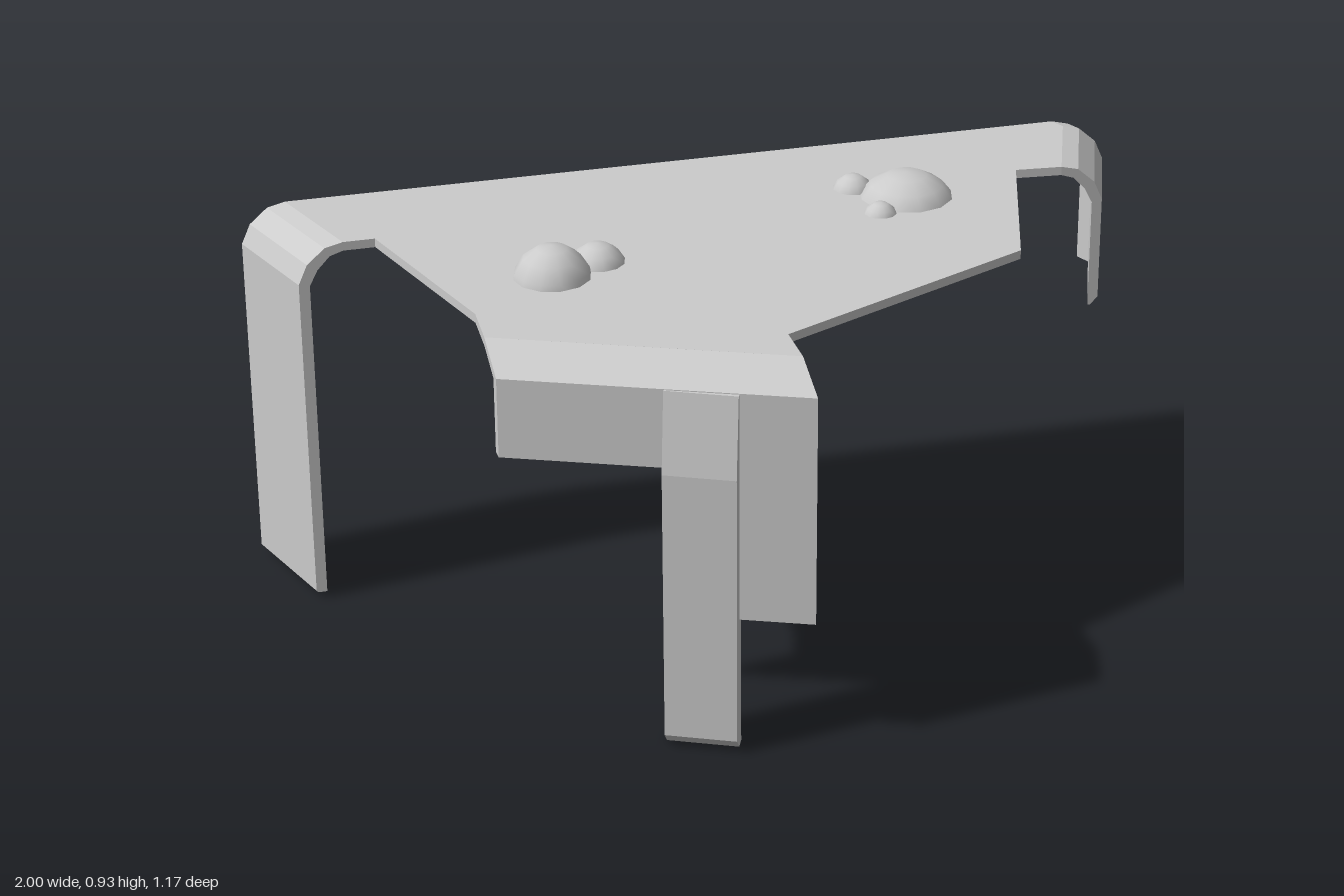
import * as THREE from 'three';

const material = new THREE.MeshStandardMaterial({ color: 0xcccccc });
const domeMaterial = new THREE.MeshStandardMaterial({ color: 0xcccccc, side: THREE.DoubleSide });
const points = (list) => list.map(([x, y]) => new THREE.Vector2(x, y));

// Sweep a profile of [outward offset, height] from ground point a to b.
function bentSheet(name, profile, a, b, [ux, uz]) {
  const geometry = new THREE.ExtrudeGeometry(new THREE.Shape(points(profile)), { depth: 1, bevelEnabled: false });
  const pos = geometry.attributes.position;
  for (let i = 0; i < pos.count; i++) {
    const d = pos.getX(i), t = pos.getZ(i);
    pos.setX(i, a[0] + (b[0] - a[0]) * t + ux * d);
    pos.setZ(i, a[1] + (b[1] - a[1]) * t + uz * d);
  }
  geometry.computeVertexNormals();
  const mesh = new THREE.Mesh(geometry, material);
  mesh.name = name;
  return mesh;
}

// Side flange: rounded shoulder, then straight down to the given height
const sideProfile = (bottom, chamfer) => [
  [-0.1, 0.86], [-0.06, 0.85], [-0.02, 0.815], [0, 0.77], [0, bottom + chamfer], [-chamfer, bottom],
  [-0.024, bottom], [-0.024, 0.765], [-0.042, 0.8], [-0.07, 0.83], [-0.1, 0.84],
];

// Front flange: shallow slope, then straight down
const frontProfile = (bottom) => [
  [-0.11, 0.86], [0, 0.817], [0, bottom], [-0.027, bottom], [-0.027, 0.806], [-0.11, 0.84],
];

export function createModel() {
  const group = new THREE.Group();

  // Flat top plate
  const outline = [
    [-0.9, -0.59], [-0.815, -0.337], [-0.745, -0.337], [-0.615, 0.1], [-0.62, 0.215], [-0.02, 0.473],
    [-0.02, 0.365], [0.575, 0.09], [0.71, -0.335], [0.815, -0.325], [0.9, -0.555], [0.885, -0.59],
  ].map(([x, z]) => [x, -z]);
  const plateGeometry = new THREE.ExtrudeGeometry(new THREE.Shape(points(outline)), { depth: 0.02, bevelEnabled: false });
  plateGeometry.rotateX(-Math.PI / 2).translate(0, 0.84, 0);
  const plate = new THREE.Mesh(plateGeometry, material);
  plate.name = 'topPlate';
  group.add(plate);

  // Long right leg and short left flange with a clipped rear corner
  group.add(
    bentSheet('rightLeg', sideProfile(0.015, 0.004), [-0.915, -0.337], [-1, -0.59], [-1, 0]),
    bentSheet('leftFlange', sideProfile(0.51, 0.018), [1, -0.555], [0.915, -0.325], [1, 0]),
    bentSheet('leftFlangeCorner', sideProfile(0.51, 0.018), [0.985, -0.59], [1, -0.555], [1, 0]),
  );

  // Stepped front flange with the thicker front leg
  group.add(
    bentSheet('frontFlangeShort', frontProfile(0.64), [-0.26, 0.48], [-0.62, 0.325], [0, 1]),
    bentSheet('frontFlangeLong', frontProfile(0.3), [-0.02, 0.583], [-0.26, 0.48], [0, 1]),
    bentSheet('frontLeg', [
      [-0.03, 0.815], [0, 0.64], [0, 0.03], [-0.03, 0], [-0.058, 0], [-0.058, 0.64], [-0.04, 0.815],
    ], [-0.181, 0.556], [-0.32, 0.49], [-0.4, 0.917]),
  );

  // Domes on the plate: x, z, radius, base height, top height
  const domes = [
    [-0.42, -0.045, 0.088, 0.836, 0.931], [-0.31, -0.095, 0.064, 0.836, 0.902],
    [0.43, -0.265, 0.115, 0.82, 0.915], [0.328, -0.335, 0.05, 0.836, 0.892], [0.346, -0.185, 0.042, 0.836, 0.885],
  ];
  for (const [x, z, r, base, top] of domes) {
    const dome = new THREE.Mesh(new THREE.SphereGeometry(1, 12, 4, 0, Math.PI * 2, 0, Math.PI / 2), domeMaterial);
    dome.name = 'dome';
    dome.scale.set(r, top - base, r);
    dome.position.set(x, base, z);
    group.add(dome);
  }
  return group;
}
